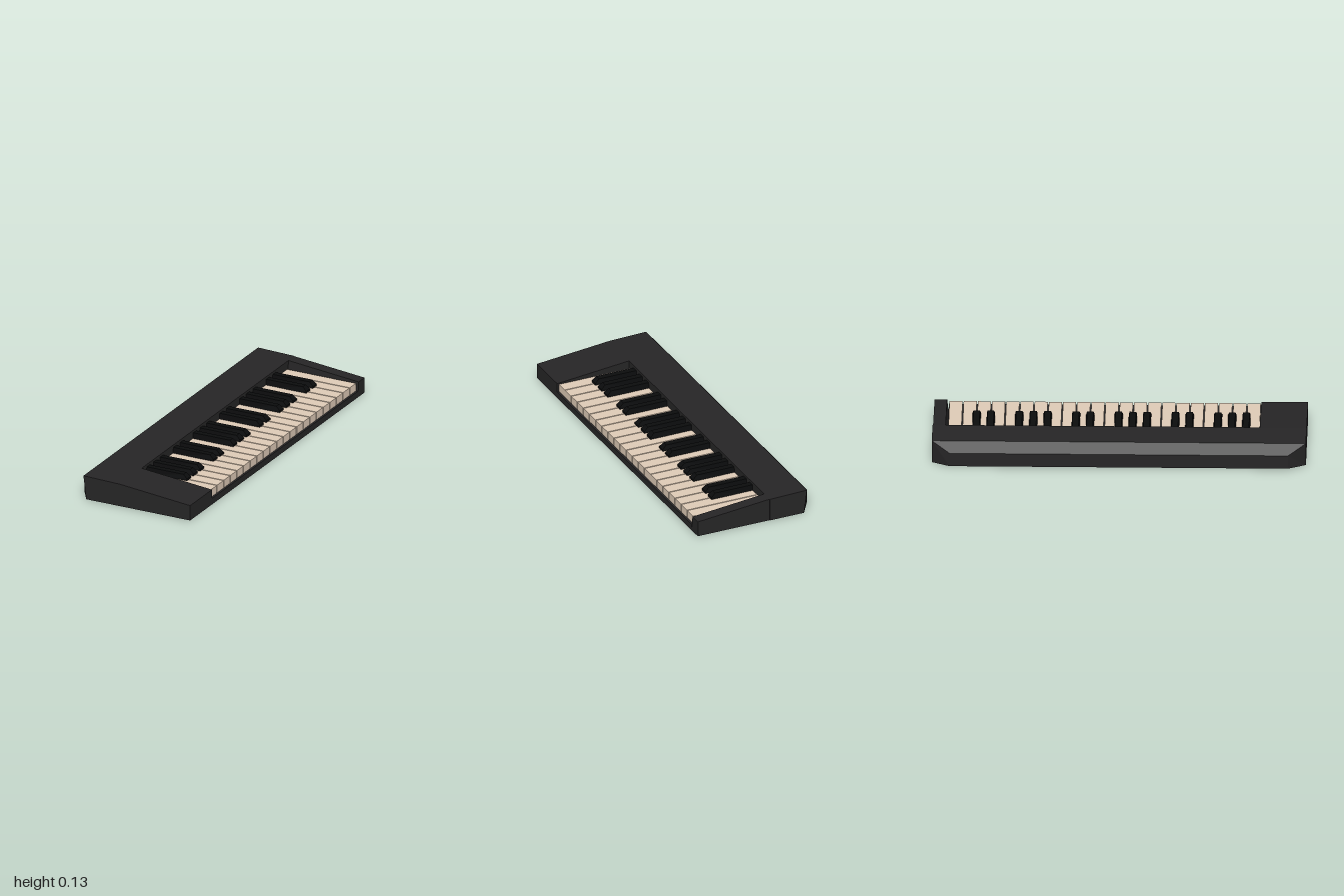
import * as THREE from 'three';

const bodyMat = new THREE.MeshStandardMaterial({ color: 0x262526, flatShading: true });
const whiteMat = new THREE.MeshStandardMaterial({ color: 0xdecab6, flatShading: true });
const blackMat = new THREE.MeshStandardMaterial({ color: 0x0b0c0d, flatShading: true });

// Closed solid through rings of [x, y, z]; rings run towards +z, each anticlockwise seen from +z
function loft(rings) {
  const n = rings[0].length, pos = [];
  const tri = (...pts) => pts.forEach((p) => pos.push(...p));
  for (let i = 0; i < rings.length - 1; i++) {
    for (let j = 0; j < n; j++) {
      const k = (j + 1) % n, r = rings[i], s = rings[i + 1];
      tri(r[j], r[k], s[k]);
      tri(r[j], s[k], s[j]);
    }
  }
  const first = rings[0], last = rings[rings.length - 1];
  for (let j = 1; j < n - 1; j++) {
    tri(first[0], first[j + 1], first[j]);
    tri(last[0], last[j], last[j + 1]);
  }
  const geo = new THREE.BufferGeometry();
  geo.setAttribute('position', new THREE.Float32BufferAttribute(pos, 3));
  geo.computeVertexNormals();
  return geo;
}

const at = (profile, z) => profile.map(([x, y]) => [x, y, z]);

export function createModel() {
  const model = new THREE.Group();
  model.name = 'keyboard';
  const add = (parent, name, geo, mat) => {
    const mesh = new THREE.Mesh(geo, mat);
    mesh.name = name;
    parent.add(mesh);
    return mesh;
  };
  const box = (parent, name, mat, x0, x1, y0, y1, z0, z1) => {
    const geo = new THREE.BoxGeometry(x1 - x0, y1 - y0, z1 - z0);
    add(parent, name, geo, mat).position.set((x0 + x1) / 2, (y0 + y1) / 2, (z0 + z1) / 2);
  };

  const wallX = -0.08, frontX = 0.345, keyStart = -0.92, keyEnd = 0.75;

  // Control panel along the back, with its corners cut off
  const panel = [[-0.283, 0], [wallX, 0], [wallX, 0.127], [-0.3, 0.133], [-0.345, 0.08], [-0.345, 0.005]];
  const panelEnd = [panel[0], panel[1], panel[2], panel[3], panel[3], panel[0]];
  add(model, 'rearPanel', loft([at(panelEnd, -1), at(panel, -0.905), at(panel, 0.905), at(panelEnd, 1)]), bodyMat);

  // End blocks either side of the keys; the narrow one leans away from them
  const cheek = [[wallX, 0], [frontX, 0], [frontX, 0.086], [wallX, 0.127]];
  const leaning = cheek.map(([x, y]) => [x, y, y > 0 ? keyStart - 0.01 : keyStart]);
  add(model, 'narrowEndBlock', loft([at(cheek, -0.997), leaning]), bodyMat);
  add(model, 'wideEndBlock', loft([at(cheek, keyEnd), at(cheek, 1)]), bodyMat);

  // Tray beneath the keys
  box(model, 'keyTray', bodyMat, wallX, frontX, 0, 0.035, keyStart, keyEnd);
  box(model, 'keyGapFloor', bodyMat, wallX, 0.325, 0.035, 0.07, keyStart, keyEnd);

  // White keys
  const keys = new THREE.Group();
  keys.name = 'keys';
  model.add(keys);
  const count = 22, pitch = (keyEnd - keyStart) / count, gap = 0.003;
  for (let i = 0; i < count; i++) {
    const z = keyStart + i * pitch;
    box(keys, 'whiteKey', whiteMat, wallX, 0.335, 0.037, 0.081, z + gap, z + pitch - gap);
  }

  // Black keys: tapered sides and a sloped nose, in groups of two and three
  const blackProfile = [[wallX, 0.07], [0.165, 0.07], [0.165, 0.092], [0.142, 0.113], [wallX, 0.113]];
  const side = (sign) => blackProfile.map(([x, y]) => [x, y, sign * (y > 0.1 ? 0.017 : 0.022)]);
  const blackGeo = loft([side(-1), side(1)]);
  for (let i = 1; i < count; i++) {
    if (i % 7 === 1 || i % 7 === 4) continue;
    add(keys, 'blackKey', blackGeo, blackMat).position.z = keyStart + i * pitch;
  }
  return model;
}
